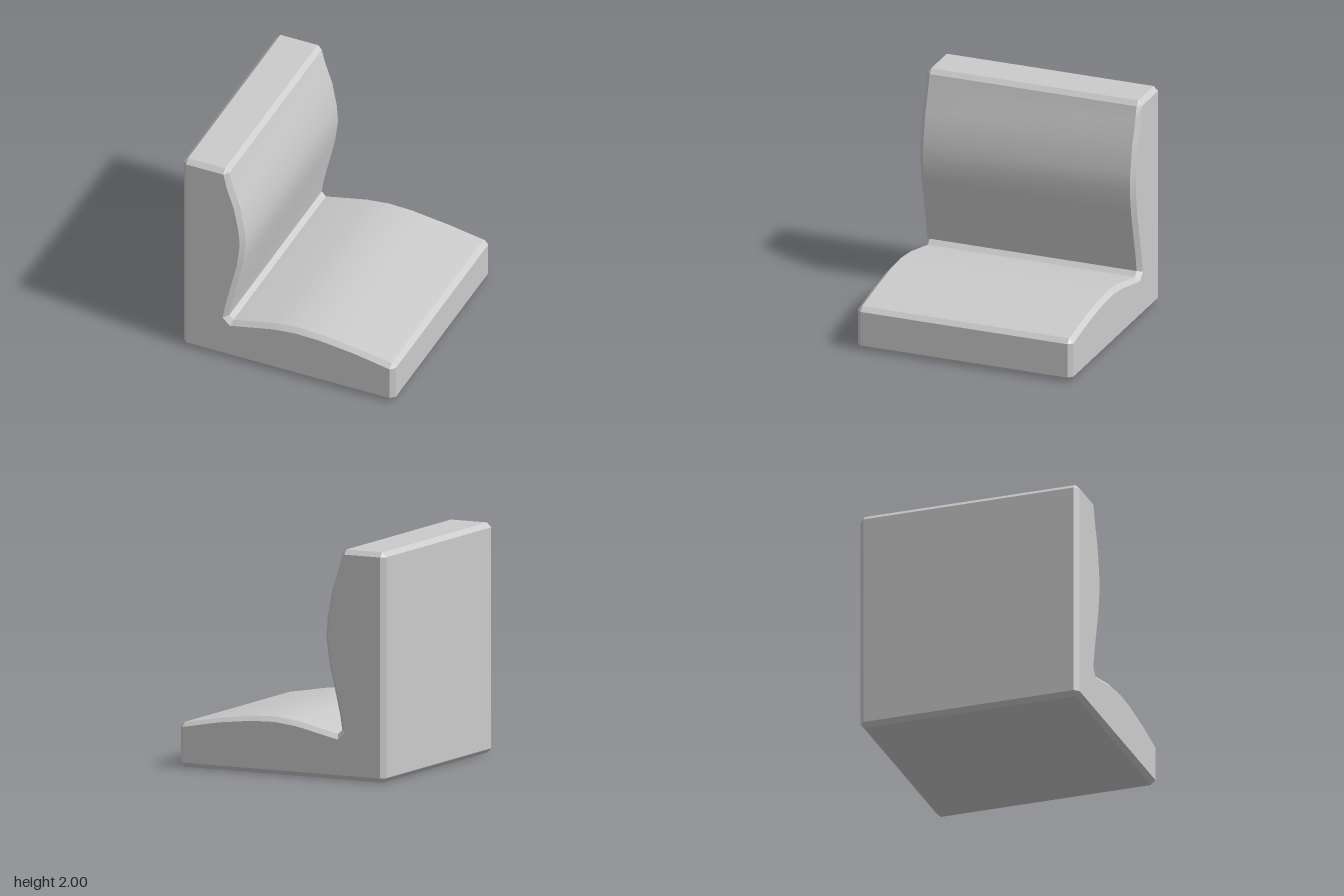
import * as THREE from 'three';
import { toCreasedNormals } from 'three/addons/utils/BufferGeometryUtils.js';

// Side profile, counter-clockwise: [outer x, outer y, inset x, inset y]
const PROFILE = [
  // base and front edge
  [-0.96, 0, -0.96, 0.04], [0.96, 0, 0.96, 0.04],
  [1, 0.04, 0.96, 0.04], [1, 0.35, 0.96, 0.35],
  // arched seat
  [0.96, 0.39, 0.96, 0.35], [0.61, 0.45, 0.61, 0.415], [0.29, 0.492, 0.29, 0.452],
  [0.07, 0.5, 0.07, 0.458], [-0.14, 0.477, -0.14, 0.436], [-0.53, 0.39, -0.55, 0.347],
  // bulging backrest
  [-0.57, 0.43, -0.615, 0.413], [-0.55, 0.56, -0.59, 0.56], [-0.443, 1.02, -0.483, 1.01],
  [-0.415, 1.24, -0.455, 1.24], [-0.428, 1.4, -0.468, 1.4], [-0.47, 1.63, -0.51, 1.62],
  [-0.537, 1.83, -0.577, 1.82], [-0.57, 1.96, -0.61, 1.96],
  // top and rear edge
  [-0.61, 2, -0.61, 1.96], [-0.96, 2, -0.96, 1.96],
  [-1, 1.96, -0.96, 1.96], [-1, 0.04, -0.96, 0.04],
];

function bevelledProfile(halfWidth, bevel) {
  const positions = [];
  const addTriangle = (a, b, c) => {
    const area = b.clone().sub(a).cross(c.clone().sub(a)).length();
    if (area > 1e-8) for (const p of [a, b, c]) positions.push(p.x, p.y, p.z);
  };

  // Loops across the width: inset, full, full, inset
  const layer = (z, k) => PROFILE.map((p) => new THREE.Vector3(p[k], p[k + 1], z));
  const inner = halfWidth - bevel;
  const layers = [layer(halfWidth, 2), layer(inner, 0), layer(-inner, 0), layer(-halfWidth, 2)];
  for (let k = 0; k < 3; k++) {
    for (let i = 0; i < PROFILE.length; i++) {
      const j = (i + 1) % PROFILE.length;
      const [a, b, c, d] = [layers[k][i], layers[k + 1][i], layers[k + 1][j], layers[k][j]];
      addTriangle(a, b, c);
      addTriangle(a, c, d);
    }
  }

  // Flat side faces, without the doubled corner points
  const outline = PROFILE.map((p) => new THREE.Vector2(p[2], p[3]))
    .filter((p, i, all) => all.findIndex((q) => q.equals(p)) === i);
  for (const face of THREE.ShapeUtils.triangulateShape(outline, [])) {
    const at = (z) => face.map((i) => new THREE.Vector3(outline[i].x, outline[i].y, z));
    const [a, b, c] = at(halfWidth);
    addTriangle(a, b, c);
    const [d, e, f] = at(-halfWidth);
    addTriangle(d, f, e);
  }

  const geometry = new THREE.BufferGeometry();
  geometry.setAttribute('position', new THREE.Float32BufferAttribute(positions, 3));
  return toCreasedNormals(geometry, 0.45);
}

export function createModel() {
  const group = new THREE.Group();
  group.name = 'seatBlock';
  const body = new THREE.Mesh(
    bevelledProfile(1, 0.04),
    new THREE.MeshStandardMaterial({ color: 0xcccccc })
  );
  body.name = 'seatAndBackrest';
  group.add(body);
  return group;
}
